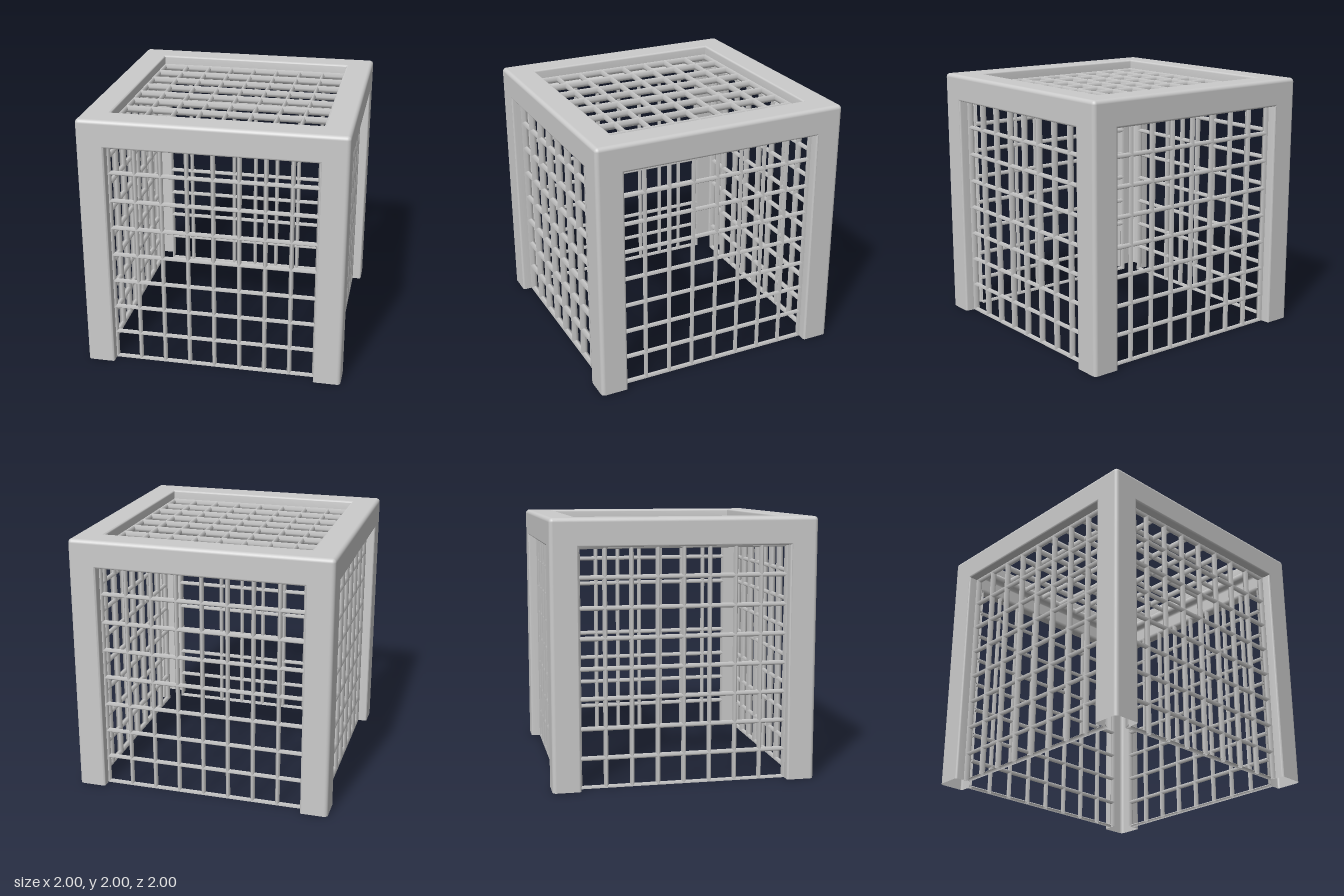
import * as THREE from 'three';
import { mergeGeometries, toCreasedNormals } from 'three/addons/utils/BufferGeometryUtils.js';

const R = 0.03;      // rounding of the outer edges
const E = 0.015;     // rounding of the window rims
const H = 0.788;     // half width of a window
const DEPTH = 0.1;   // recess of the lattice
const BAR = 0.018;   // half width of a bar
const BAR_DEPTH = 0.028;
const CELLS = 8;

const shell = new THREE.MeshStandardMaterial({ color: 0xcccccc, side: THREE.DoubleSide });

function mesh(name, geometry) {
  const m = new THREE.Mesh(geometry, shell);
  m.name = name;
  return m;
}

// Diamond-section bar along y; side -1 or 1 keeps only that half
function bar(length, side) {
  const start = side < 0 ? Math.PI : 0;
  const sweep = side ? Math.PI : Math.PI * 2;
  const g = new THREE.CylinderGeometry(1, 1, length, side ? 2 : 4, 1, true, start, sweep);
  return g.scale(BAR, 1, BAR_DEPTH);
}

// Square grid of bars between y0 and y1, half bars on its border
function lattice(y0, y1) {
  const parts = [];
  for (let i = 0; i <= CELLS; i++) {
    const side = i === 0 ? 1 : i === CELLS ? -1 : 0;
    const t = i / CELLS;
    parts.push(bar(y1 - y0, side).translate(-H + 2 * H * t, (y0 + y1) / 2, 0));
    parts.push(bar(2 * H, side).rotateZ(Math.PI / 2).translate(0, y0 + (y1 - y0) * t, 0));
  }
  return mergeGeometries(parts).translate(0, 0, 1 - DEPTH);
}

// Rounded lip and inner wall of a window, swept along its corners
function rim(corners, closed) {
  const profile = [];
  for (let i = 0; i <= 4; i++) {
    const a = (i / 4) * Math.PI / 2;
    profile.push([E * (1 - Math.sin(a)), E * (1 - Math.cos(a))]);
  }
  profile.push([0, DEPTH]);
  const pos = [], index = [], n = corners.length;
  for (const [out, depth] of profile) {
    for (const [x, y, dx, dy] of corners) pos.push(x + dx * out, y + dy * out, 1 - depth);
  }
  for (let p = 0; p < profile.length - 1; p++) {
    for (let c = 0; c < (closed ? n : n - 1); c++) {
      const a = p * n + c, b = p * n + (c + 1) % n;
      index.push(a, b, a + n, b, b + n, a + n);
    }
  }
  const g = new THREE.BufferGeometry();
  g.setAttribute('position', new THREE.Float32BufferAttribute(pos, 3));
  g.setIndex(index);
  return toCreasedNormals(g, 0.8);
}

function polygon(points, Type = THREE.Shape) {
  return new Type(points.map(([x, y]) => new THREE.Vector2(x, y)));
}

// One upright side, open at the floor
function createSide() {
  const side = new THREE.Group();
  const top = 2 - 0.21, o = 1 - R, w = H + E;
  const face = polygon([[-o, 0], [-w, 0], [-w, top + E], [w, top + E], [w, 0], [o, 0], [o, 2 - R], [-o, 2 - R]]);
  side.add(mesh('sideFrame', new THREE.ShapeGeometry(face).translate(0, 0, 1)));
  side.add(mesh('sideRim', rim([[-H, 0, -1, 0], [-H, top, -1, 1], [H, top, 1, 1], [H, 0, 1, 0]], false)));
  side.add(mesh('sideLattice', lattice(0, top)));

  // Rounded outer edges and corner
  const quarter = (length) =>
    new THREE.CylinderGeometry(R, R, length, 6, 1, true, 0, Math.PI / 2);
  side.add(mesh('postEdge', quarter(2 - R).translate(o, (2 - R) / 2, o)));
  side.add(mesh('topEdge', quarter(2 * o).rotateZ(Math.PI / 2).translate(0, 2 - R, o)));
  side.add(mesh('topCorner',
    new THREE.SphereGeometry(R, 6, 6, Math.PI / 2, Math.PI / 2, 0, Math.PI / 2).translate(o, 2 - R, o)));
  return side;
}

function createTop() {
  const top = new THREE.Group();
  const o = 1 - R, w = H + E;
  const square = (s) => [[-s, -s], [s, -s], [s, s], [-s, s]];
  const face = polygon(square(o));
  face.holes.push(polygon(square(w), THREE.Path));
  top.add(mesh('topFrame', new THREE.ShapeGeometry(face).translate(0, 0, 1)));
  const corners = square(1).map(([x, y]) => [x * H, y * H, x, y]);
  top.add(mesh('topRim', rim(corners, true)));
  top.add(mesh('topLattice', lattice(-H, H)));
  top.rotation.x = -Math.PI / 2;
  top.position.y = 1;
  return top;
}

export function createModel() {
  const model = new THREE.Group();
  model.name = 'latticeCube';
  ['frontSide', 'leftSide', 'backSide', 'rightSide'].forEach((name, i) => {
    const side = createSide();
    side.name = name;
    side.rotation.y = i * Math.PI / 2;
    model.add(side);
  });
  const top = createTop();
  top.name = 'topSide';
  model.add(top);
  return model;
}
